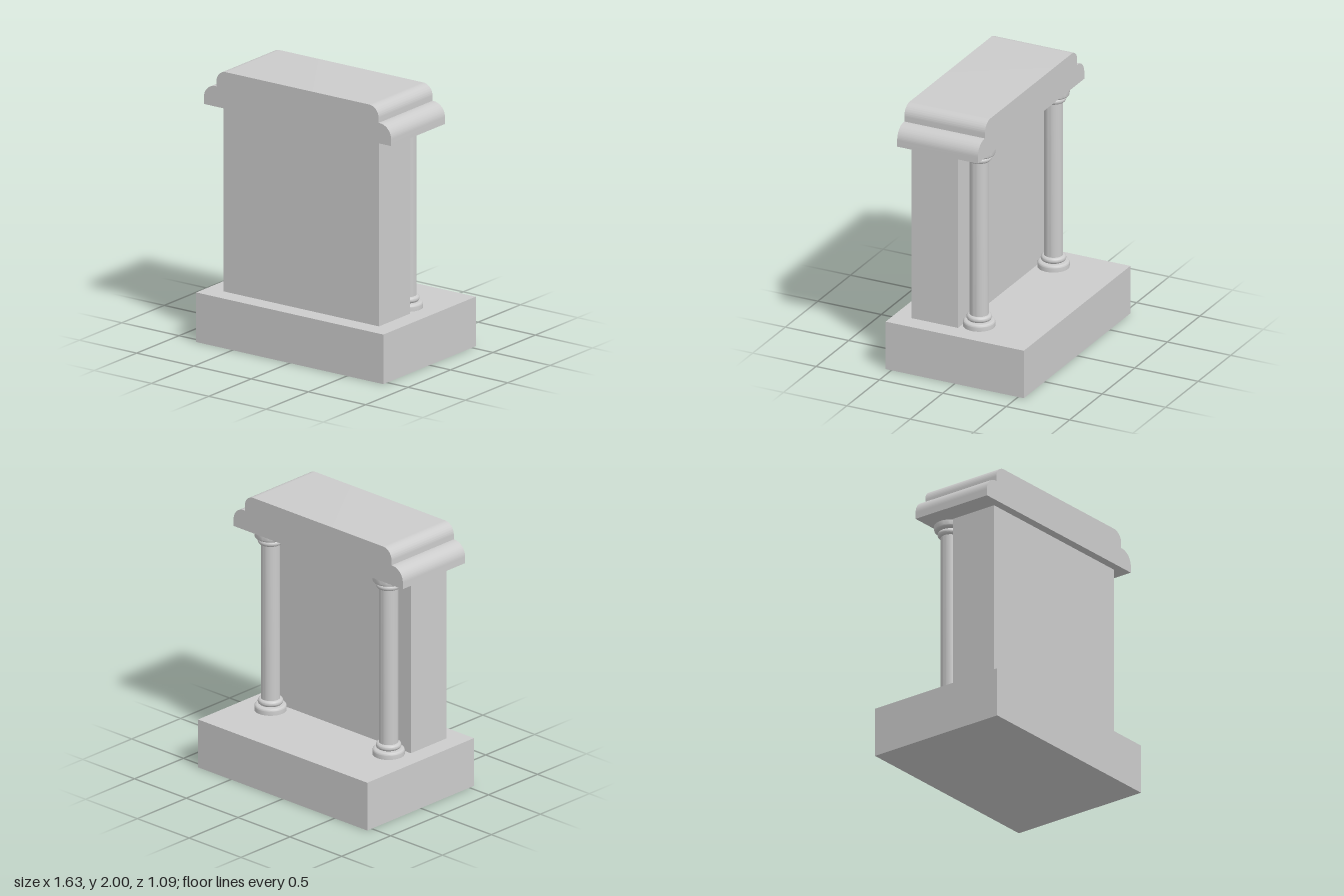
import * as THREE from 'three';
import { toCreasedNormals } from 'three/addons/utils/BufferGeometryUtils.js';

const material = new THREE.MeshStandardMaterial({ color: 0xcccccc });

function addMesh(parent, name, geometry, x = 0, y = 0, z = 0) {
  const mesh = new THREE.Mesh(geometry, material);
  mesh.name = name;
  mesh.position.set(x, y, z);
  parent.add(mesh);
  return mesh;
}

// Stepped lintel outline with two quarter-round mouldings at each end
function lintelGeometry(depth) {
  const s = new THREE.Shape();
  s.moveTo(-0.817, 1.73);
  s.lineTo(0.817, 1.73);
  s.lineTo(0.817, 1.78);
  s.absarc(0.717, 1.78, 0.1, 0, Math.PI / 2, false);
  s.lineTo(0.708, 1.88);
  s.lineTo(0.708, 1.918);
  s.absarc(0.626, 1.918, 0.082, 0, Math.PI / 2, false);
  s.absarc(-0.626, 1.918, 0.082, Math.PI / 2, Math.PI, false);
  s.lineTo(-0.708, 1.88);
  s.lineTo(-0.717, 1.88);
  s.absarc(-0.717, 1.78, 0.1, Math.PI / 2, Math.PI, false);
  const geometry = new THREE.ExtrudeGeometry(s, { depth, bevelEnabled: false, curveSegments: 16 });
  return toCreasedNormals(geometry, 0.6);
}

// Column turned from one half profile, with the same mouldings at foot and head
function columnGeometry(height) {
  const foot = [[0, 0], [0.114, 0], [0.114, 0.03]];
  for (let i = 1; i <= 6; i++) {
    const a = (i / 6) * Math.PI / 2;
    foot.push([0.094 + 0.02 * Math.cos(a), 0.03 + 0.018 * Math.sin(a)]);
  }
  foot.push([0.07, 0.048]);
  for (let i = 0; i <= 10; i++) {
    const a = -Math.PI / 2 + (i / 10) * Math.PI;
    foot.push([0.068 + 0.022 * Math.cos(a), 0.0705 + 0.0225 * Math.sin(a)]);
  }
  const head = foot.map(([r, y]) => [r, height - y]).reverse();
  const points = [...foot, ...head].map(([r, y]) => new THREE.Vector2(r, y));
  return toCreasedNormals(new THREE.LatheGeometry(points, 48), 0.6);
}

export function createModel() {
  const model = new THREE.Group();
  model.name = 'columnedMonument';

  // Plinth and upright slab
  addMesh(model, 'plinth', new THREE.BoxGeometry(1.634, 0.365, 1.09), 0, 0.1825, 0);
  addMesh(model, 'slab', new THREE.BoxGeometry(1.36, 1.35, 0.366), 0, 1.04, 0.228);

  // Pair of columns behind the slab
  const column = columnGeometry(1.365);
  for (const [name, side] of [['leftColumn', 1], ['rightColumn', -1]]) {
    addMesh(model, name, column, side * 0.57, 0.365, -0.066);
  }

  // Lintel resting on the columns
  addMesh(model, 'lintel', lintelGeometry(0.636), 0, 0, -0.182);
  return model;
}
